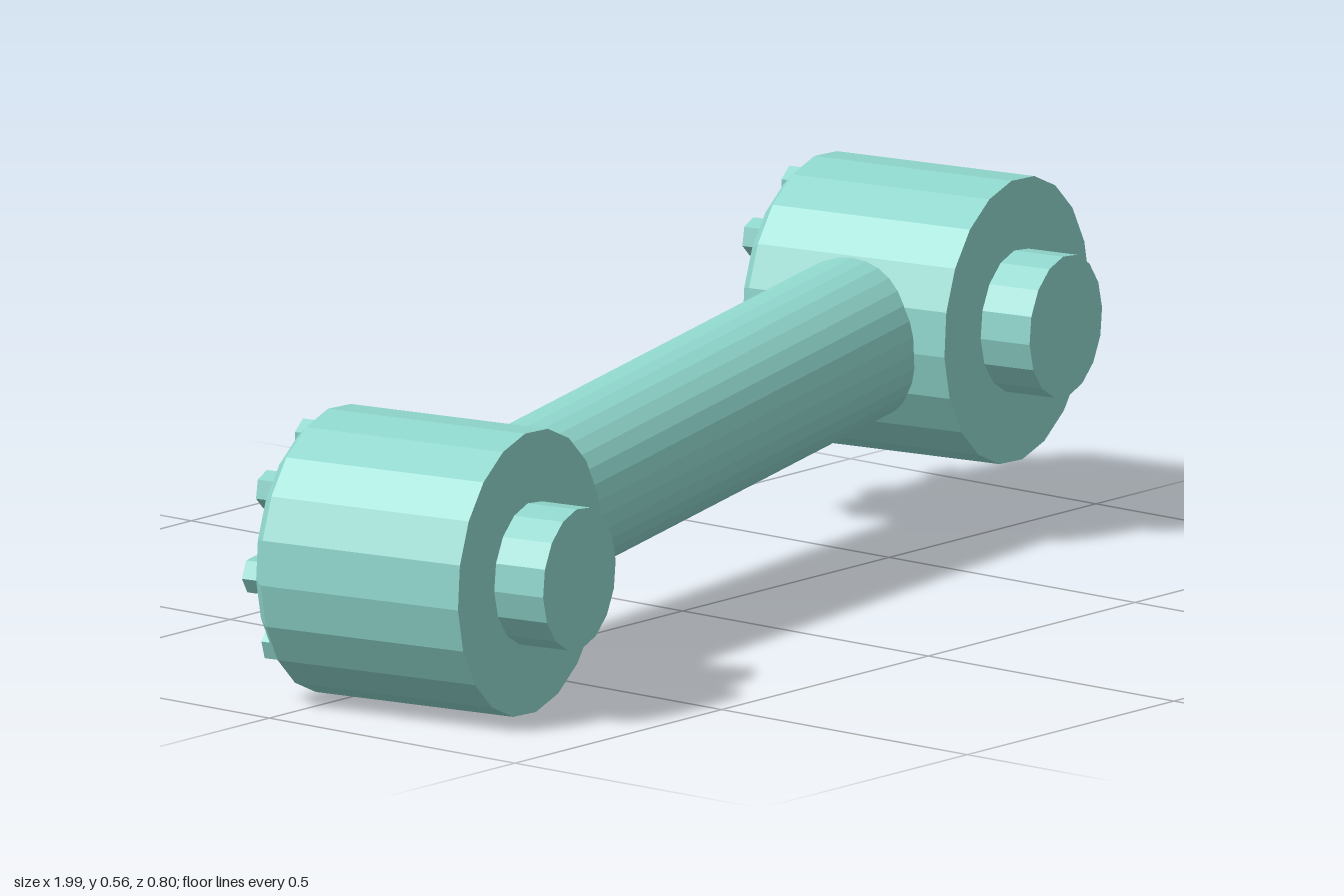
import * as THREE from 'three';

const material = new THREE.MeshStandardMaterial({ color: 0x8fd6cc, flatShading: true });

// Cylinder along z from zBack to zFront
function drum(name, rBack, rFront, zBack, zFront, sides) {
  const geo = new THREE.CylinderGeometry(rFront, rBack, zFront - zBack, sides);
  geo.rotateX(Math.PI / 2);
  geo.translate(0, 0, (zFront + zBack) / 2);
  const mesh = new THREE.Mesh(geo, material);
  mesh.name = name;
  return mesh;
}

// Joint housing with front shaft, chamfered back rim, cap and bolt ring
function joint(name, x) {
  const g = new THREE.Group();
  g.name = name;
  g.position.x = x;
  g.add(
    drum('housing', 0.226, 0.226, -0.191, 0.164, 20),
    drum('backRim', 0.204, 0.226, -0.212, -0.191, 20),
    drum('shaft', 0.113, 0.113, 0.15, 0.252, 16),
    drum('backCap', 0.066, 0.066, -0.23, -0.2, 16)
  );
  for (let i = 0; i < 8; i++) {
    const a = (i / 8) * Math.PI * 2;
    const bolt = drum('bolt', 0.03, 0.03, -0.237, -0.2, 6);
    bolt.position.set(Math.cos(a) * 0.175, Math.sin(a) * 0.175, 0);
    bolt.rotation.z = a + Math.PI / 2;
    g.add(bolt);
  }
  return g;
}

export function createModel() {
  const root = new THREE.Group();
  root.name = 'robotArmLink';

  // Whole link is rolled and yawed together
  const link = new THREE.Group();
  link.name = 'link';
  link.position.set(0, 0.284, 0);
  link.rotation.set(0, THREE.MathUtils.degToRad(10), THREE.MathUtils.degToRad(4.2), 'YXZ');
  root.add(link);

  link.add(joint('rightJoint', -0.758), joint('leftJoint', 0.758));

  // Round tube joining both housings
  const tube = new THREE.CylinderGeometry(0.13, 0.13, 1.36, 32);
  tube.rotateZ(Math.PI / 2);
  const arm = new THREE.Mesh(tube, material);
  arm.name = 'armTube';
  arm.position.z = -0.021;
  link.add(arm);

  return root;
}
